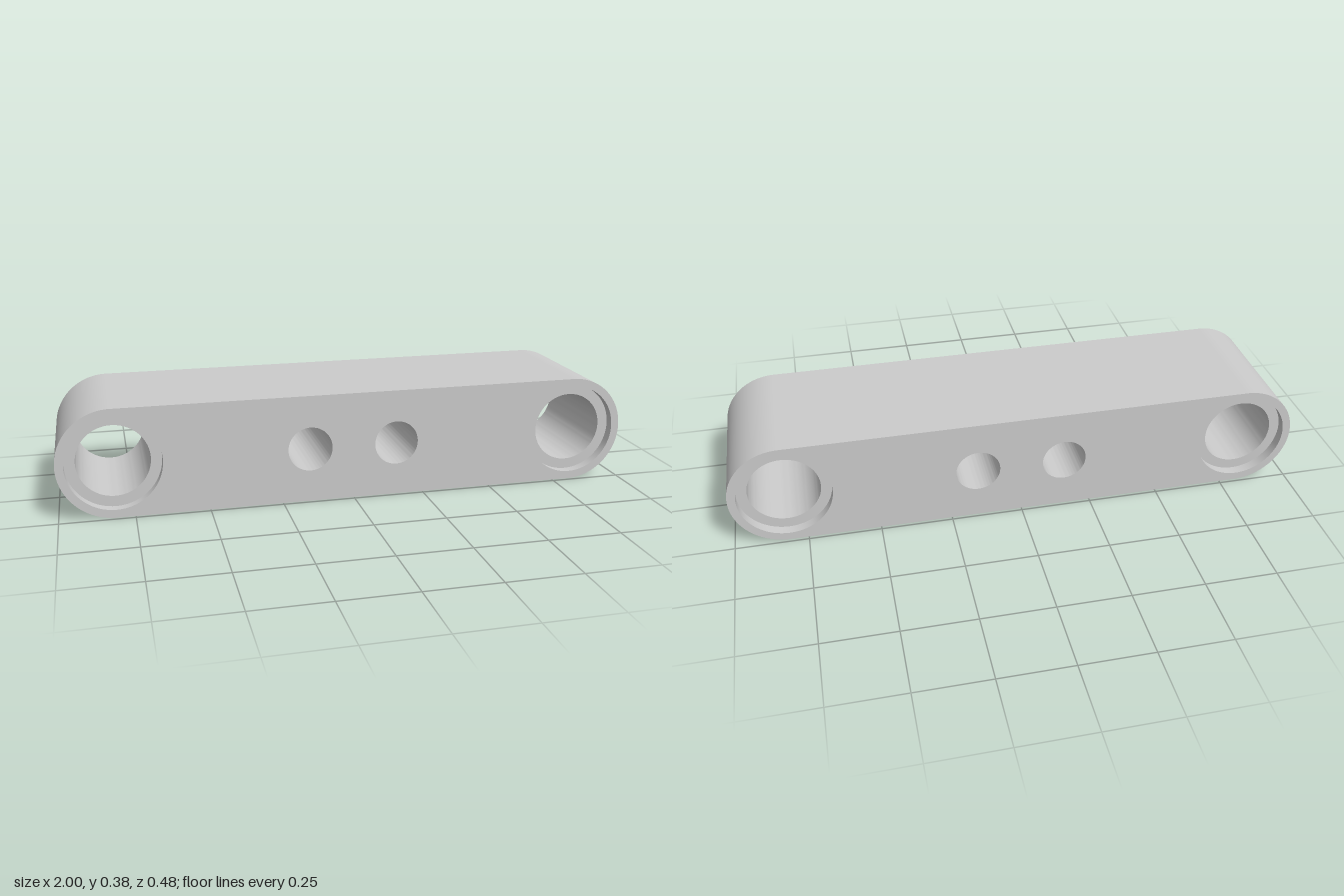
import * as THREE from 'three';
import { toCreasedNormals } from 'three/addons/utils/BufferGeometryUtils.js';

const R = 0.188;        // end radius, half the height
const C = 1 - R;        // x of the end centres
const H = 0.2385;       // half depth
const BORE = 0.123, RECESS = 0.16, RECESS_DEPTH = 0.035;
const PIN = 0.077, PIN_X = 0.153;
const SEG = 96;

export function createModel() {
  const group = new THREE.Group();
  const material = new THREE.MeshStandardMaterial({ color: 0xcccccc });
  const add = (name, geometry, x = 0, y = R, z = 0) => {
    const mesh = new THREE.Mesh(geometry, material);
    mesh.name = name;
    mesh.position.set(x, y, z);
    group.add(mesh);
  };

  // Front and back faces: a rounded bar outline with four holes
  const outline = new THREE.Shape();
  outline.absarc(C, 0, R, -Math.PI / 2, Math.PI / 2, false);
  outline.absarc(-C, 0, R, Math.PI / 2, Math.PI * 1.5, false);
  for (const [x, r] of [[-C, RECESS], [-PIN_X, PIN], [PIN_X, PIN], [C, RECESS]]) {
    outline.holes.push(new THREE.Path().absarc(x, 0, r, 0, Math.PI * 2, true));
  }
  const face = new THREE.ShapeGeometry(outline, SEG / 2);
  add('frontFace', face, 0, R, H);
  add('backFace', face.clone().rotateY(Math.PI), 0, R, -H);

  // Flat top and bottom
  const flat = new THREE.PlaneGeometry(2 * C, 2 * H);
  add('topFace', flat.clone().rotateX(-Math.PI / 2), 0, 2 * R);
  add('bottomFace', flat.clone().rotateX(Math.PI / 2), 0, 0);

  // Inward-facing lining of a hole, from its profile of radius and depth
  const lining = (profile) => toCreasedNormals(
    new THREE.LatheGeometry(profile.map(([r, z]) => new THREE.Vector2(r, z)), SEG)
      .rotateX(Math.PI / 2), 0.5);
  const step = H - RECESS_DEPTH;
  const endBore = lining([[RECESS, H], [RECESS, step], [BORE, step],
    [BORE, -step], [RECESS, -step], [RECESS, -H]]);
  const pinHole = lining([[PIN, H], [PIN, -H]]);

  // Rounded ends, stepped end bores and plain middle holes
  for (const [side, s] of [['left', 1], ['right', -1]]) {
    const round = new THREE.CylinderGeometry(R, R, 2 * H, SEG, 1, true,
      s > 0 ? 0 : Math.PI, Math.PI).rotateX(Math.PI / 2);
    add(side + 'RoundedEnd', round, s * C);
    add(side + 'EndBore', endBore, s * C);
    add(side + 'MiddleHole', pinHole, s * PIN_X);
  }
  return group;
}
